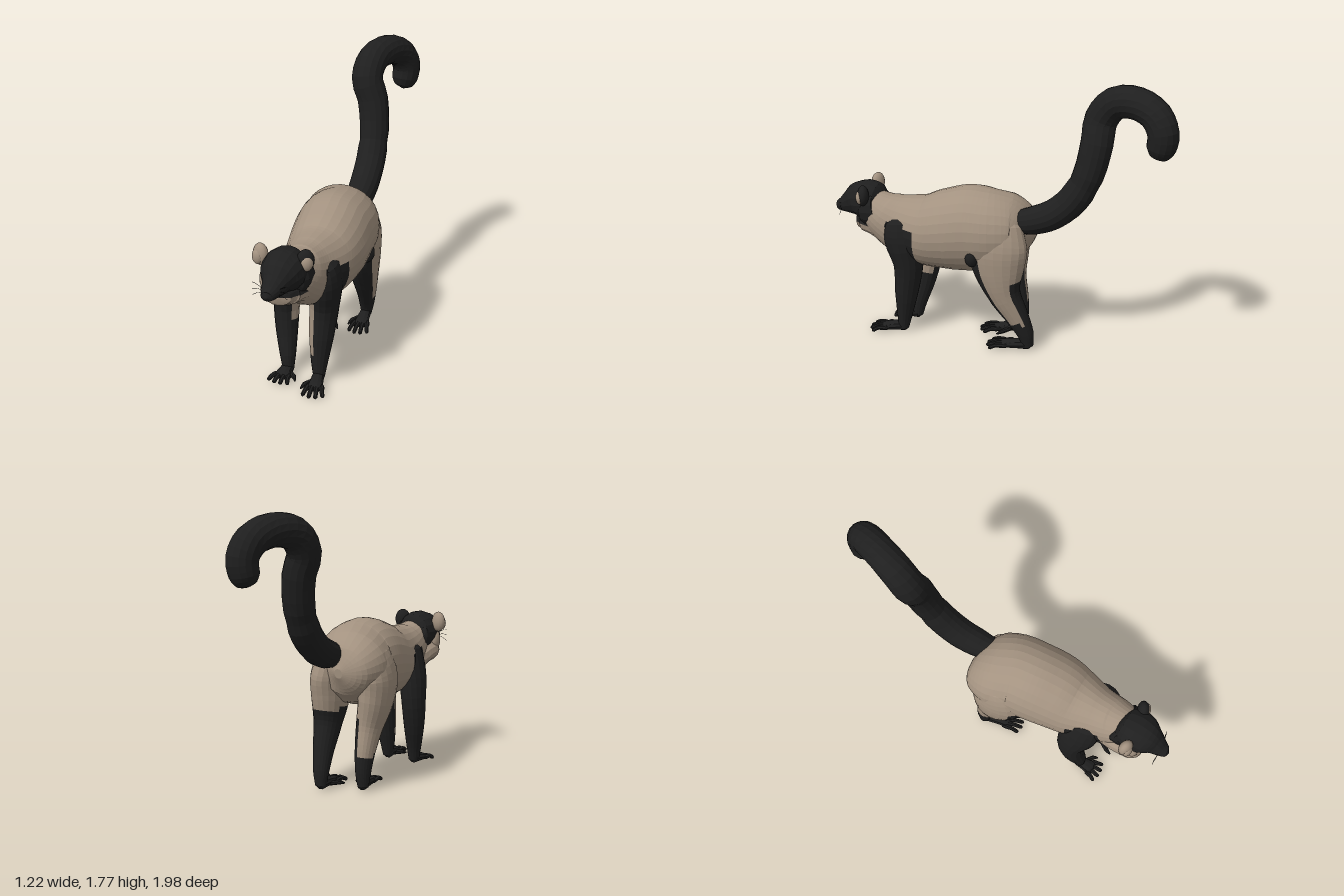
import * as THREE from 'three';

const V = (x, y, z) => new THREE.Vector3(x, y, z);
// Body axes: the animal stands turned, so "side" is its own left
const SIDE = V(0.91, 0, 0.41);
const FRONT = V(-0.41, 0, 0.91);

// Sweeps an ellipse through sections [x, y, z, sideRadius, otherRadius].
// paint(centre, c, s) returns the material index of a face; c points left, s forward or up.
function loft(name, sections, mats, { sides = 16, steps = 3, paint = null, side = SIDE } = {}) {
  const path = new THREE.CatmullRomCurve3(sections.map(p => V(p[0], p[1], p[2])));
  const radii = new THREE.CatmullRomCurve3(sections.map(p => V(p[3], p[4] ?? p[3], 0)));
  const n = (sections.length - 1) * steps;
  const rings = [];
  for (let i = 0; i <= n; i++) {
    const t = i / n, c = path.getPoint(t), r = radii.getPoint(t);
    const T = path.getTangent(t);
    const A = side.clone().addScaledVector(T, -T.dot(side)).normalize();
    const B = T.clone().cross(A);
    rings.push(Array.from({ length: sides }, (_, j) => {
      const a = j / sides * Math.PI * 2;
      return c.clone().addScaledVector(A, Math.max(r.x, 0.001) * Math.cos(a))
        .addScaledVector(B, Math.max(r.y, 0.001) * Math.sin(a));
    }));
  }
  const buckets = [[], []];
  const tri = (k, ...ps) => ps.forEach(p => buckets[k].push(p.x, p.y, p.z));
  for (let i = 0; i < n; i++) {
    for (let j = 0; j < sides; j++) {
      const k = (j + 1) % sides, a = (j + 0.5) / sides * Math.PI * 2;
      const p = rings[i][j], q = rings[i][k], u = rings[i + 1][j], v = rings[i + 1][k];
      const m = paint ? paint(p.clone().add(v).multiplyScalar(0.5), Math.cos(a), Math.sin(a)) : 0;
      tri(m, p, q, u);
      tri(m, q, v, u);
    }
  }
  // end caps
  const last = rings[n];
  for (let j = 1; j < sides - 1; j++) {
    tri(0, rings[0][0], rings[0][j + 1], rings[0][j]);
    tri(0, last[0], last[j], last[j + 1]);
  }
  const g = new THREE.BufferGeometry();
  g.setAttribute('position', new THREE.Float32BufferAttribute([...buckets[0], ...buckets[1]], 3));
  g.addGroup(0, buckets[0].length / 3, 0);
  g.addGroup(buckets[0].length / 3, buckets[1].length / 3, 1);
  g.computeVertexNormals();
  const mesh = new THREE.Mesh(g, paint ? mats : mats[0]);
  mesh.name = name;
  return mesh;
}

function ellipsoid(name, mat, pos, scale, turn = 0) {
  const mesh = new THREE.Mesh(new THREE.SphereGeometry(1, 14, 10), mat);
  mesh.name = name;
  mesh.position.copy(pos);
  mesh.scale.set(...scale);
  mesh.rotation.y = turn;
  return mesh;
}

// Palm or sole with four splayed toes and a thumb; inner is +1 or -1 towards the thumb
function foot(name, mat, heel, dir, length, width, inner) {
  const g = new THREE.Group();
  g.name = name;
  const d = dir.clone().normalize(), l = V(d.z, 0, -d.x);
  const at = (f, s, y) => heel.clone().addScaledVector(d, f * length).addScaledVector(l, s * width).setY(y);
  const row = (p, a, b) => [p.x, p.y, p.z, a, b];
  g.add(loft('sole', [
    row(at(-0.1, 0, 0.04), 0.015, 0.012), row(at(0, 0, 0.042), width * 0.75, 0.036),
    row(at(0.3, 0, 0.038), width * 0.85, 0.032), row(at(0.6, 0, 0.03), width, 0.024),
    row(at(0.68, 0, 0.025), width * 0.7, 0.012)], [mat], { sides: 10, side: l }));
  for (let i = 0; i < 4; i++) {
    const s = (i - 1.5) * 0.55, reach = i % 3 ? 1 : 0.92;
    g.add(loft('toe', [
      row(at(0.5, s, 0.03), 0.014), row(at(0.75, s * 1.25, 0.034), 0.014),
      row(at(reach - 0.03, s * 1.5, 0.018), 0.013), row(at(reach, s * 1.5, 0.012), 0.004)],
    [mat], { sides: 7, steps: 2, side: l }));
  }
  g.add(loft('thumb', [
    row(at(0.25, inner * 0.4, 0.03), 0.016), row(at(0.45, inner * 1.4, 0.028), 0.015),
    row(at(0.6, inner * 1.8, 0.015), 0.005)], [mat], { sides: 7, steps: 2, side: l }));
  return g;
}

export function createModel() {
  const fur = new THREE.MeshStandardMaterial({ color: 0xa39280 });
  fur.name = 'beige fur';
  const black = new THREE.MeshStandardMaterial({ color: 0x1f1f1f });
  black.name = 'black fur';
  const eyeMat = new THREE.MeshStandardMaterial({ color: 0x0c0c0c });
  eyeMat.name = 'dark eye';
  const model = new THREE.Group();
  model.name = 'lemur';

  // Torso, from rump to neck, with black shoulder patches
  const shoulder = (p, c) => {
    const f = p.dot(FRONT);
    return Math.abs(c) > 0.35 && f > 0.475 && f < 0.685 && p.y < 0.785 && p.y > 0.56 ? 1 : 0;
  };
  model.add(loft('torso', [
    [0.05, 0.76, -0.25, 0.03, 0.03], [0.02, 0.765, -0.205, 0.17, 0.15], [-0.015, 0.775, -0.11, 0.235, 0.225],
    [-0.035, 0.775, 0.02, 0.25, 0.265], [-0.08, 0.77, 0.13, 0.25, 0.28], [-0.13, 0.75, 0.26, 0.245, 0.265],
    [-0.2, 0.725, 0.4, 0.22, 0.235], [-0.28, 0.74, 0.55, 0.17, 0.205], [-0.34, 0.785, 0.66, 0.145, 0.165],
    [-0.39, 0.84, 0.74, 0.11, 0.115], [-0.41, 0.86, 0.78, 0.05, 0.05]], [fur, black],
  { sides: 28, steps: 5, paint: shoulder }));

  // Tail with a curled end
  model.add(loft('tail', [
    [0.09, 0.86, -0.14, 0.075], [0.125, 0.88, -0.23, 0.09], [0.17, 0.93, -0.34, 0.095], [0.22, 1.04, -0.45, 0.096],
    [0.25, 1.2, -0.53, 0.096], [0.245, 1.4, -0.58, 0.1], [0.21, 1.54, -0.61, 0.102], [0.26, 1.65, -0.68, 0.1],
    [0.37, 1.675, -0.785, 0.098], [0.47, 1.625, -0.87, 0.096], [0.515, 1.53, -0.905, 0.094],
    [0.505, 1.44, -0.9, 0.088], [0.495, 1.39, -0.89, 0.06], [0.49, 1.37, -0.885, 0.005]], [black]));

  // Front legs: black with a beige inner strip
  model.add(loft('leftFrontLeg', [
    [-0.21, 0.83, 0.57, 0.02, 0.04], [-0.185, 0.78, 0.575, 0.09, 0.115], [-0.175, 0.68, 0.57, 0.1, 0.125],
    [-0.18, 0.5, 0.54, 0.09, 0.098], [-0.2, 0.3, 0.555, 0.075, 0.078], [-0.215, 0.13, 0.57, 0.052, 0.052],
    [-0.22, 0.03, 0.58, 0.035, 0.035]], [black, fur],
  { paint: (p, c, s) => c < -0.5 && s > 0 && p.y > 0.18 && p.y < 0.58 ? 1 : 0 }));
  model.add(loft('rightFrontLeg', [
    [-0.35, 0.83, 0.47, 0.02, 0.04], [-0.365, 0.78, 0.46, 0.07, 0.115], [-0.385, 0.64, 0.43, 0.085, 0.125],
    [-0.395, 0.48, 0.39, 0.08, 0.095], [-0.4, 0.3, 0.41, 0.07, 0.072], [-0.4, 0.13, 0.455, 0.05, 0.052],
    [-0.4, 0.03, 0.47, 0.035, 0.035]], [black, fur],
  { paint: (p, c) => c > 0.6 && p.y > 0.38 && p.y < 0.6 ? 1 : 0 }));
  model.add(foot('leftHand', black, V(-0.22, 0, 0.57), V(-0.27, 0, 0.96), 0.23, 0.048, -1));
  model.add(foot('rightHand', black, V(-0.395, 0, 0.46), V(-0.5, 0, 0.86), 0.17, 0.05, 1));

  // Hind legs: beige thighs, black fronts, insides and shins
  model.add(loft('leftHindLeg', [
    [0.07, 0.94, -0.03, 0.02, 0.03], [0.095, 0.85, -0.02, 0.09, 0.14], [0.115, 0.7, 0.0, 0.11, 0.19],
    [0.12, 0.55, -0.005, 0.105, 0.165], [0.135, 0.4, -0.035, 0.085, 0.11], [0.155, 0.25, -0.11, 0.065, 0.08],
    [0.165, 0.12, -0.17, 0.05, 0.055], [0.165, 0.03, -0.19, 0.035, 0.035]], [fur, black],
  { sides: 20, steps: 4,
    paint: (p, c, s) => p.y < 0.2 || (p.y < 0.72 && s > 0.6) || (p.y < 0.5 && (c < -0.1 || s < -0.65)) ? 1 : 0 }));
  model.add(loft('rightHindLeg', [
    [-0.11, 0.94, -0.09, 0.02, 0.03], [-0.15, 0.85, -0.1, 0.09, 0.13], [-0.185, 0.7, -0.085, 0.105, 0.18],
    [-0.17, 0.55, -0.105, 0.1, 0.15], [-0.135, 0.4, -0.125, 0.08, 0.105], [-0.11, 0.25, -0.165, 0.062, 0.075],
    [-0.1, 0.12, -0.185, 0.048, 0.055], [-0.1, 0.03, -0.19, 0.035, 0.035]], [fur, black],
  { sides: 20, steps: 4,
    paint: (p, c, s) => p.y < 0.23 || (p.y < 0.7 && s > 0.5 && c < 0) || (p.y < 0.48 && c > 0.2 && s < 0.3) ? 1 : 0 }));
  model.add(ellipsoid('kneePatch', black, V(0.115, 0.655, 0.165), [0.055, 0.07, 0.045], -0.42));
  model.add(foot('leftHindFoot', black, V(0.165, 0, -0.19), V(-0.35, 0, 0.93), 0.27, 0.048, -1));
  model.add(foot('rightHindFoot', black, V(-0.095, 0, -0.19), V(-0.2, 0, 0.97), 0.27, 0.045, 1));

  // Neck, throat ruff, cheek and head
  model.add(loft('neck', [
    [-0.35, 0.85, 0.67, 0.08, 0.08], [-0.365, 0.84, 0.69, 0.135, 0.13],
    [-0.4, 0.83, 0.76, 0.132, 0.135], [-0.43, 0.83, 0.8, 0.07, 0.07]], [black]));
  model.add(loft('throatRuff', [
    [-0.28, 0.66, 0.54, 0.09, 0.09], [-0.335, 0.685, 0.62, 0.125, 0.105], [-0.4, 0.725, 0.71, 0.135, 0.09],
    [-0.45, 0.735, 0.78, 0.125, 0.085], [-0.47, 0.73, 0.83, 0.08, 0.06], [-0.475, 0.73, 0.845, 0.01, 0.01]],
  [fur, black], { paint: (p, c, s) => p.z > 0.7 && p.y > 0.7 && c > -0.2 && s > 0 ? 1 : 0 }));
  model.add(ellipsoid('rightCheek', fur, V(-0.53, 0.805, 0.745), [0.035, 0.075, 0.045], -0.42));
  model.add(loft('head', [
    [-0.36, 0.87, 0.67, 0.04, 0.04], [-0.385, 0.87, 0.705, 0.115, 0.115], [-0.42, 0.87, 0.77, 0.135, 0.13],
    [-0.455, 0.86, 0.83, 0.12, 0.118], [-0.485, 0.835, 0.885, 0.08, 0.08], [-0.515, 0.812, 0.93, 0.054, 0.05],
    [-0.535, 0.802, 0.965, 0.035, 0.032], [-0.54, 0.8, 0.98, 0.004, 0.004]], [black]));

  // Ears, eyes and whiskers on both sides
  for (const s of [1, -1]) {
    const tag = s > 0 ? 'left' : 'right', turn = -0.42 + s * 0.4;
    const ear = V(-0.43, 0.938, 0.755).addScaledVector(SIDE, s * 0.135);
    model.add(ellipsoid(tag + 'Ear', s > 0 ? black : fur, ear, [0.052, 0.068, 0.038], turn));
    const inner = ear.clone().addScaledVector(FRONT, 0.018).addScaledVector(SIDE, s * 0.014).add(V(0, -0.01, 0));
    model.add(ellipsoid(tag + 'InnerEar', fur, inner, [0.036, 0.046, 0.026], turn));
    model.add(ellipsoid(tag + 'Eye', eyeMat, V(-0.478, 0.895, 0.862).addScaledVector(SIDE, s * 0.052), [0.018, 0.016, 0.016]));
    for (let i = 0; i < 3; i++) {
      const a = V(-0.515, 0.805 + i * 0.01, 0.93).addScaledVector(SIDE, s * 0.04);
      const b = a.clone().addScaledVector(SIDE, s * 0.065).add(V(0, (i - 1) * 0.03, -0.01));
      const m = a.clone().lerp(b, 0.5).add(V(0, 0.012, 0));
      const w = new THREE.Mesh(new THREE.TubeGeometry(new THREE.QuadraticBezierCurve3(a, m, b), 4, 0.0012, 4), black);
      w.name = tag + 'Whisker';
      model.add(w);
    }
  }
  return model;
}
